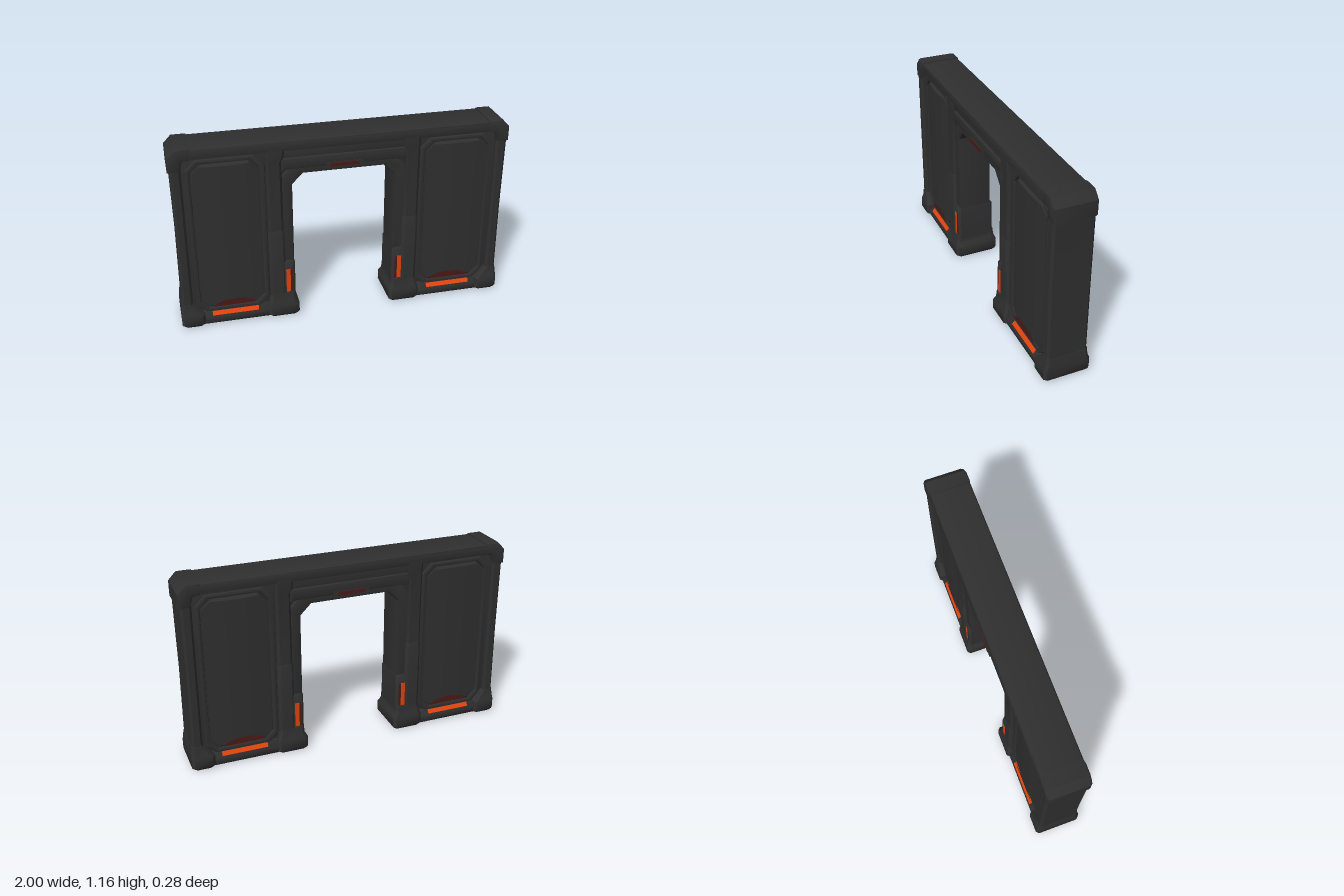
import * as THREE from 'three';
import { toCreasedNormals } from 'three/addons/utils/BufferGeometryUtils.js';

export function createModel() {
  const model = new THREE.Group();
  model.name = 'gateway';
  const mat = (name, color, side = THREE.FrontSide) => {
    const m = new THREE.MeshStandardMaterial({ color, side });
    m.name = name;
    return m;
  };
  const armour = mat('dark armour', 0x2f2f2f);
  const orange = mat('orange light', 0xe0430e);
  const glow = mat('dim red glow', 0x4a1a17, THREE.DoubleSide);

  const add = (name, geo, material = armour) => {
    const m = new THREE.Mesh(geo, material);
    m.name = name;
    model.add(m);
    return m;
  };
  // front and back match, so a half turn puts the same part on the other side
  const addPair = (name, geo) => {
    add(name + 'Left', geo);
    add(name + 'Right', geo).rotation.y = Math.PI;
  };

  const toShape = pts => new THREE.Shape(pts.map(p => new THREE.Vector2(p[0], p[1])));
  const octagon = (x0, x1, y0, y1, c) => [
    [x0 + c, y0], [x1 - c, y0], [x1, y0 + c], [x1, y1 - c],
    [x1 - c, y1], [x0 + c, y1], [x0, y1 - c], [x0, y0 + c]];
  // outline extruded through the wall with bevelled edges, centred on z
  const slab = (pts, z, bevel, holes = []) => {
    const s = toShape(pts);
    holes.forEach(h => s.holes.push(toShape(h)));
    const g = new THREE.ExtrudeGeometry(s, {
      depth: 2 * (z - bevel), bevelThickness: bevel, bevelSize: bevel,
      bevelOffset: -bevel, bevelSegments: 2, curveSegments: 4 });
    g.translate(0, 0, -(z - bevel));
    return toCreasedNormals(g, 0.6);
  };
  // rings of [x, z] stacked in y, capped at both ends
  const loft = (rings, ys, crease = 0.7) => {
    const pos = [], idx = [], n = rings[0].length;
    rings.forEach((r, j) => r.forEach(p => pos.push(p[0], ys[j], p[1])));
    for (let j = 0; j < rings.length - 1; j++) {
      for (let i = 0; i < n; i++) {
        const a = j * n + i, b = j * n + (i + 1) % n;
        idx.push(a, a + n, b, b, a + n, b + n);
      }
    }
    const top = (rings.length - 1) * n;
    for (let i = 1; i < n - 1; i++) {
      idx.push(0, i, i + 1, top, top + i + 1, top + i);
    }
    const g = new THREE.BufferGeometry();
    g.setAttribute('position', new THREE.Float32BufferAttribute(pos, 3));
    g.setIndex(idx);
    return toCreasedNormals(g, crease);
  };
  // block from sections [y, x0, x1, half depth] with cut corners
  const block = (sections, cut) => loft(
    sections.map(([, x0, x1, z]) => octagon(x0, x1, -z, z, cut)),
    sections.map(s => s[0]));

  // core wall with the doorway cut out
  const arch = (x, top, c, y = 0.02) => [[x, y], [x, top - c], [x - c, top],
    [-x + c, top], [-x, top - c], [-x, y]];
  add('coreWall', slab([[-0.97, 0.02], [-0.97, 1.12], [0.97, 1.12], [0.97, 0.02],
    ...arch(0.315, 0.945, 0.065)], 0.088, 0.005));

  // doorway trim in two steps
  add('doorLiner', slab([...arch(0.375, 0.995, 0.075).reverse(), ...arch(0.305, 0.935, 0.065)], 0.105, 0.012));
  add('lintel', slab([[-0.37, 0.965], [-0.32, 0.97], [0.32, 0.97], [0.37, 0.965],
    [0.37, 1.04], [-0.37, 1.04]], 0.115, 0.012));
  add('lintelBand', slab([[-0.36, 1.03], [0.36, 1.03], [0.36, 1.1], [-0.36, 1.1]], 0.1, 0.005));

  // top beam and its corner caps
  add('topBeam', slab([[-0.9, 1.085], [0.9, 1.085], [0.9, 1.152], [-0.9, 1.152]], 0.124, 0.018));
  addPair('cornerCap', slab([[0.87, 1.085], [0.915, 1.08], [0.93, 1.02], [1, 1.02],
    [1, 1.11], [0.955, 1.157], [0.87, 1.157]], 0.127, 0.018));

  // uprights
  addPair('outerPost', block([[0.12, 0.925, 0.99, 0.121], [0.58, 0.925, 0.985, 0.123],
    [1.06, 0.925, 0.99, 0.121]], 0.014));
  addPair('doorColumn', block([[0.57, 0.365, 0.455, 0.119], [1.02, 0.365, 0.455, 0.119],
    [1.05, 0.352, 0.455, 0.124], [1.11, 0.345, 0.455, 0.124]], 0.014));
  addPair('columnSleeve', block([[0.12, 0.36, 0.458, 0.124], [0.57, 0.36, 0.458, 0.124],
    [0.59, 0.365, 0.455, 0.118]], 0.016));
  addPair('columnInnerBlock', block([[0.1, 0.303, 0.385, 0.117], [0.36, 0.303, 0.385, 0.117],
    [0.375, 0.306, 0.385, 0.106]], 0.014));

  // feet and the sill between them
  addPair('innerFoot', block([[0, 0.298, 0.462, 0.126], [0.018, 0.285, 0.475, 0.141],
    [0.08, 0.285, 0.475, 0.141], [0.11, 0.302, 0.465, 0.129], [0.155, 0.304, 0.455, 0.125]], 0.016));
  addPair('outerFoot', block([[0, 0.872, 0.985, 0.126], [0.018, 0.86, 1, 0.141],
    [0.08, 0.86, 1, 0.141], [0.11, 0.89, 0.998, 0.129], [0.155, 0.925, 0.992, 0.125]], 0.016));
  addPair('sill', block([[0.004, 0.44, 0.91, 0.115], [0.016, 0.44, 0.91, 0.125],
    [0.05, 0.44, 0.91, 0.125], [0.09, 0.44, 0.91, 0.095]], 0.004));

  // bay panels: a stepped rim round a gently bulging plate
  addPair('panelRim', slab(octagon(0.46, 0.905, 0.075, 1.075, 0.06), 0.102, 0.01,
    [octagon(0.492, 0.878, 0.105, 1.048, 0.05).reverse()]));
  const STEPS = 10;
  const panelRing = (half, z) => {
    const front = [], back = [];
    for (let i = 0; i <= STEPS; i++) {
      const x = -half + 2 * half * i / STEPS;
      const d = z + 0.014 * (1 - (x / 0.185) ** 2);
      back.push([0.685 + x, -d]);
      front.unshift([0.685 + x, d]);
    }
    return [...back, ...front];
  };
  addPair('bayPanel', loft(
    [[0.13, 0.086], [0.14, 0.097], [0.185, 0.097], [0.185, 0.097], [0.14, 0.097], [0.13, 0.086]]
      .map(([h, z]) => panelRing(h, z)),
    [0.11, 0.122, 0.165, 0.99, 1.033, 1.045], 0.5));

  // lights on both faces
  const glowShape = new THREE.Shape();
  glowShape.absellipse(0, 0, 0.125, 0.04, 0, Math.PI);
  const glowGeo = new THREE.ShapeGeometry(glowShape, 12);
  for (const sz of [1, -1]) {
    const face = sz > 0 ? 'Front' : 'Back';
    for (const sx of [1, -1]) {
      const side = (sx > 0 ? 'Left' : 'Right') + face;
      const sillLight = add('sillLight' + side, new THREE.BoxGeometry(0.28, 0.028, 0.006), orange);
      sillLight.position.set(sx * 0.675, 0.07, sz * 0.111);
      sillLight.rotation.x = -sz * 0.64;
      const panelGlow = add('panelGlow' + side, glowGeo, glow);
      panelGlow.position.set(sx * 0.675, 0.118, sz * 0.113);
      if (sz < 0) panelGlow.rotation.y = Math.PI;
      add('doorLight' + side, new THREE.BoxGeometry(0.026, 0.155, 0.008), orange)
        .position.set(sx * 0.347, 0.24, sz * 0.117);
      add('doorGlow' + side, new THREE.BoxGeometry(0.014, 0.15, 0.006), glow)
        .position.set(sx * 0.327, 0.24, sz * 0.117);
    }
    // small lamp housing above the doorway
    add('lintelLampHousing' + face, new THREE.BoxGeometry(0.22, 0.034, 0.02))
      .position.set(0, 0.977, sz * 0.108);
    add('lintelLamp' + face, new THREE.BoxGeometry(0.17, 0.022, 0.006), glow)
      .position.set(0, 0.977, sz * 0.118);
  }
  return model;
}
